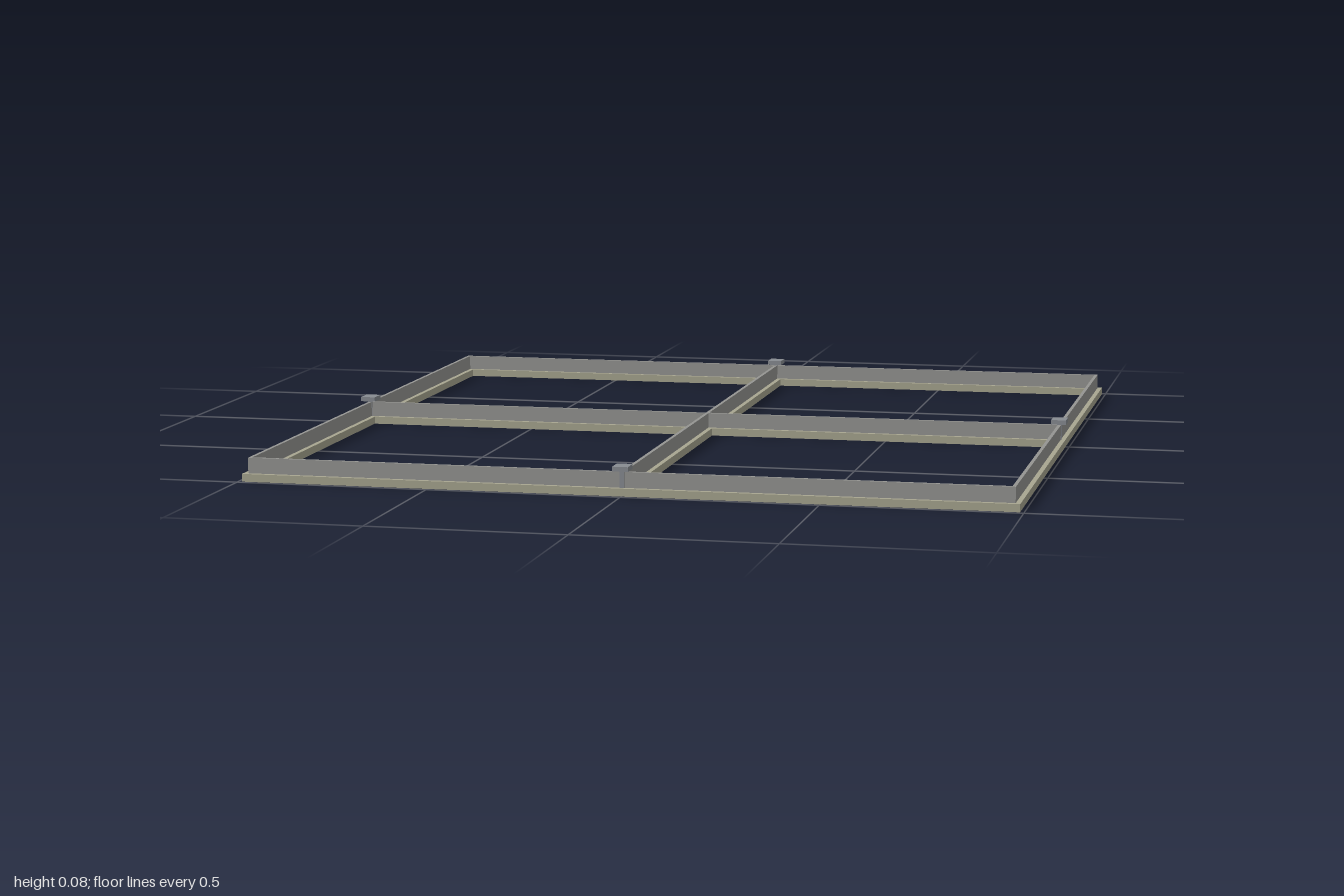
import * as THREE from 'three';

const beige = new THREE.MeshStandardMaterial({ name: 'beige flange', color: 0xa8a690 });
const grey = new THREE.MeshStandardMaterial({ name: 'grey web', color: 0x959592 });
const steel = new THREE.MeshStandardMaterial({ name: 'steel clip', color: 0x888c92 });

const R = 0.973; // centre line of the outer rails
const FLANGE = 0.034;
const WEB = 0.009;

function box(parent, name, mat, size, pos) {
  const mesh = new THREE.Mesh(new THREE.BoxGeometry(...size), mat);
  mesh.position.set(...pos);
  mesh.name = name;
  parent.add(mesh);
}

// Inverted T rail along x: wide flange with an upright web
function rail(name, flangeLength, webLength) {
  const g = new THREE.Group();
  g.name = name;
  box(g, 'flange', beige, [flangeLength, 0.02, FLANGE], [0, 0.01, 0]);
  box(g, 'web', grey, [webLength, 0.04, WEB], [0, 0.04, 0]);
  return g;
}

export function createModel() {
  const model = new THREE.Group();
  model.name = 'gridFrame';

  // Outer rails
  for (const s of [-1, 1]) {
    const across = rail('outerRailAcross', 2 * R + FLANGE, 2 * R + WEB);
    across.position.z = s * R;
    const along = rail('outerRailAlong', 2 * R - FLANGE, 2 * R - WEB);
    along.rotation.y = Math.PI / 2;
    along.position.x = s * R;
    model.add(across, along);
  }

  // Crossing middle rails, one continuous and one in two halves
  const middle = rail('middleRailAlong', 2 * R - FLANGE, 2 * R - WEB);
  middle.rotation.y = Math.PI / 2;
  model.add(middle);
  for (const s of [-1, 1]) {
    const half = rail('middleRailHalf', R - FLANGE, R - WEB);
    half.position.x = s * R / 2;
    model.add(half);
  }

  // Clips where the middle rails meet the outer ones
  for (const [x, z] of [[0, 0.975], [0, -0.975], [R, 0], [-R, 0]]) {
    const clip = new THREE.Group();
    clip.name = 'clip';
    clip.position.set(x, 0, z);
    box(clip, 'clipStem', steel, [0.012, 0.044, 0.012], [0, 0.042, 0]);
    box(clip, 'clipCap', steel, [0.04, 0.012, 0.05], [0, 0.07, 0]);
    model.add(clip);
  }
  return model;
}
